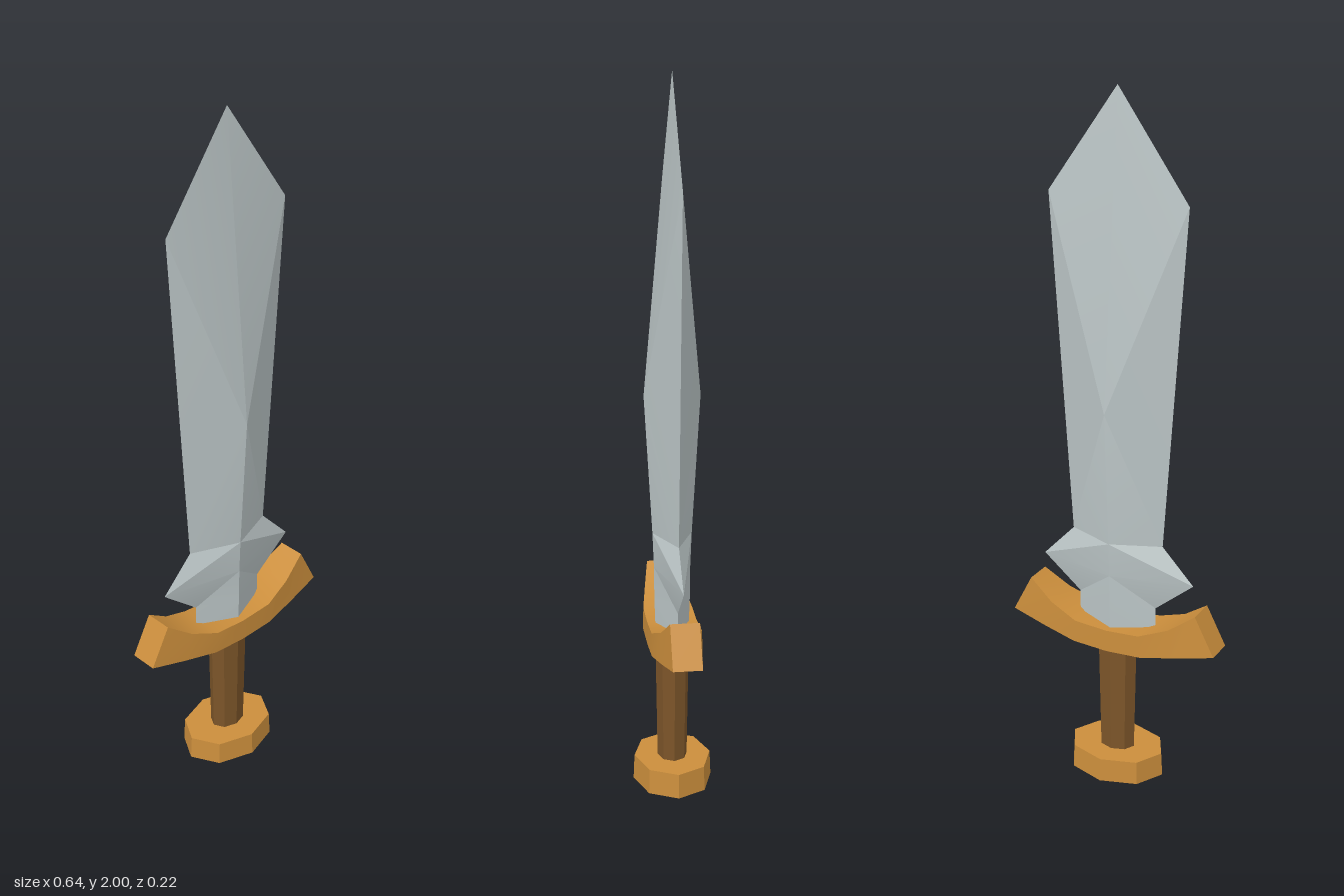
import * as THREE from 'three';
import { toCreasedNormals } from 'three/addons/utils/BufferGeometryUtils.js';

const paint = (name, color) => {
  const m = new THREE.MeshStandardMaterial({ color });
  m.name = name;
  return m;
};

function meshFromPoints(name, points, material, crease) {
  const g = new THREE.BufferGeometry();
  g.setAttribute('position', new THREE.Float32BufferAttribute(points.flat(), 3));
  g.computeVertexNormals();
  const mesh = new THREE.Mesh(toCreasedNormals(g, crease), material);
  mesh.name = name;
  return mesh;
}

// One quarter of the blade, mirrored to all four sides of its diamond section
function makeBlade(material) {
  const edge = [[0.12, 0.47], [0.12, 0.555], [0.235, 0.65], [0.14, 0.75], [0.205, 1.71]];
  const ridge = [[0.47, 0.047], [0.555, 0.05], [0.65, 0.051], [0.75, 0.055], [1.14, 0.078]];
  const points = [];
  for (const sx of [1, -1]) for (const sz of [1, -1]) {
    const E = edge.map(([x, y]) => [x * sx, y, 0]);
    const R = ridge.map(([y, z]) => [0, y, z * sz]);
    const tri = (a, b, c) => (sx * sz > 0 ? points.push(a, b, c) : points.push(a, c, b));
    for (let i = 0; i < 4; i++) {
      tri(R[i], E[i], R[i + 1]);
      tri(R[i + 1], E[i], E[i + 1]);
    }
    tri(R[4], E[4], [0, 2, 0]);
    tri([0, 0.47, 0], E[0], R[0]);
  }
  return meshFromPoints('blade', points, material, 0.3);
}

// Curved guard lofted through rectangular sections from one end to the other
function makeGuard(material) {
  // top x, top y, bottom x, bottom y, half depth
  const half = [[0, 0.487, 0, 0.422, 0.07], [0.1, 0.494, 0.105, 0.428, 0.07],
    [0.185, 0.527, 0.21, 0.446, 0.0555], [0.26, 0.58, 0.318, 0.468, 0.04]];
  const mirrored = half.slice(1).reverse().map(([a, b, c, d, z]) => [-a, b, -c, d, z]);
  const rings = [...mirrored, ...half].map(([tx, ty, bx, by, z]) =>
    [[tx, ty, z], [tx, ty, -z], [bx, by, -z], [bx, by, z]]);
  const points = [];
  const quad = (a, b, c, d) => points.push(a, b, c, a, c, d);
  for (let i = 0; i < rings.length - 1; i++) {
    const A = rings[i], B = rings[i + 1];
    for (let k = 0; k < 4; k++) {
      const n = (k + 1) % 4;
      quad(A[k], B[k], B[n], A[n]);
    }
  }
  const first = rings[0], last = rings[rings.length - 1];
  quad(first[0], first[1], first[2], first[3]);
  quad(last[3], last[2], last[1], last[0]);
  return meshFromPoints('guard', points, material, 0.5);
}

// Flattened eight-sided prism
function octagon(name, top, bottom, y0, y1, depth, material) {
  const g = new THREE.CylinderGeometry(top, bottom, y1 - y0, 8).toNonIndexed();
  g.scale(1, 1, depth);
  g.translate(0, (y0 + y1) / 2, 0);
  g.computeVertexNormals();
  const mesh = new THREE.Mesh(g, material);
  mesh.name = name;
  return mesh;
}

export function createModel() {
  const steel = paint('steel', 0xbcc6c7);
  const brass = paint('brass', 0xcb8e3c);
  const wood = paint('brown wood', 0x7c5529);

  const sword = new THREE.Group();
  sword.name = 'sword';
  sword.add(
    makeBlade(steel),
    makeGuard(brass),
    octagon('grip', 0.061, 0.052, 0, 0.44, 0.78, wood),
    octagon('pommel', 0.143, 0.147, 0.015, 0.085, 0.76, brass),
  );
  return sword;
}
